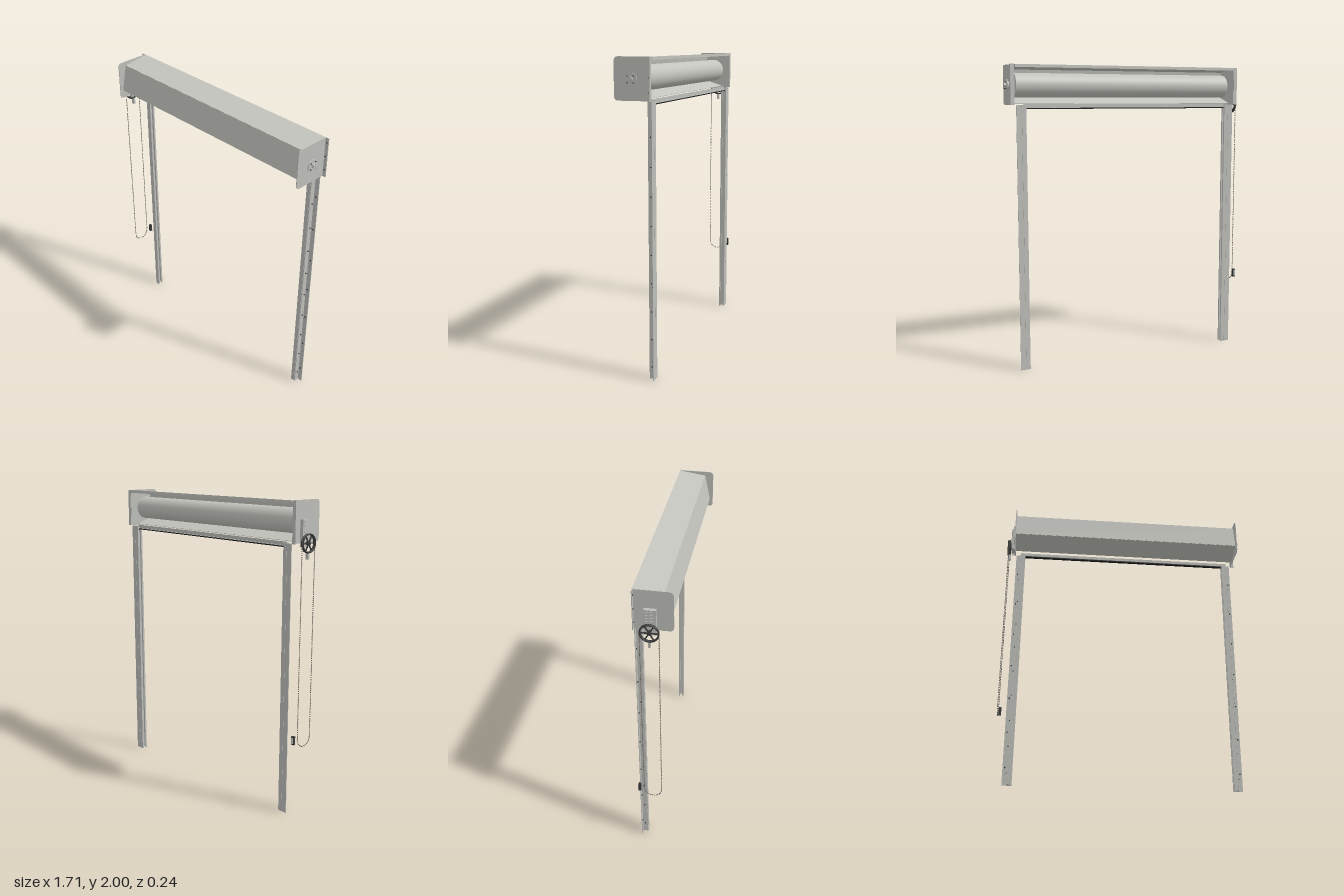
import * as THREE from 'three';
import { mergeGeometries } from 'three/addons/utils/BufferGeometryUtils.js';

const mat = (name, color) => {
  const m = new THREE.MeshStandardMaterial({ color });
  m.name = name;
  return m;
};

export function createModel() {
  const root = new THREE.Group();
  root.name = 'rollerShutter';
  const steel = mat('galvanised steel', 0xbebeba);
  const sheet = mat('hood sheet', 0xc4c4be);
  const rubber = mat('black rubber', 0x1c1c1c);
  const iron = mat('dark iron', 0x3a3a3a);
  const chainGrey = mat('chain grey', 0x77736c);

  const add = (parent, name, geo, material, x = 0, y = 0, z = 0) => {
    const m = new THREE.Mesh(geo, material);
    m.name = name;
    m.position.set(x, y, z);
    parent.add(m);
    return m;
  };
  // box given by its limits
  const box = (parent, name, material, x0, x1, y0, y1, z0, z1) =>
    add(parent, name, new THREE.BoxGeometry(x1 - x0, y1 - y0, z1 - z0), material,
      (x0 + x1) / 2, (y0 + y1) / 2, (z0 + z1) / 2);
  // cylinder lying along x
  const rod = (parent, name, material, x0, x1, y, z, r, n = 24) =>
    add(parent, name, new THREE.CylinderGeometry(r, r, x1 - x0, n).rotateZ(Math.PI / 2),
      material, (x0 + x1) / 2, y, z);

  // Hood: folded sheet, open at the back, listed as (z, y) folds
  const hood = new THREE.Group();
  hood.name = 'hood';
  root.add(hood);
  const folds = [[-0.118, 1.998], [0.06, 1.972], [0.096, 1.8], [-0.06, 1.75]];
  for (let i = 0; i < folds.length - 1; i++) {
    const [z0, y0] = folds[i], [z1, y1] = folds[i + 1];
    const panel = add(hood, 'hoodPanel' + (i + 1),
      new THREE.BoxGeometry(1.615, 0.003, Math.hypot(z1 - z0, y1 - y0)), sheet,
      0.005, (y0 + y1) / 2, (z0 + z1) / 2);
    panel.rotation.x = -Math.atan2(y1 - y0, z1 - z0);
  }
  box(hood, 'hoodBackLip', sheet, -0.8, 0.81, 1.98, 1.998, -0.119, -0.116);

  // Shutter roll and its shaft
  rod(root, 'shutterRoll', sheet, -0.78, 0.79, 1.87, 0.003, 0.078, 48);
  rod(root, 'rollShaft', steel, -0.81, 0.85, 1.87, 0.003, 0.014);

  // End plates with rounded front corners and an outward back flange
  const plate = new THREE.Shape();
  plate.moveTo(-0.115, 1.742);
  plate.lineTo(0.09, 1.742);
  plate.quadraticCurveTo(0.118, 1.742, 0.118, 1.77);
  plate.lineTo(0.118, 1.97);
  plate.quadraticCurveTo(0.118, 2, 0.09, 2);
  plate.lineTo(-0.115, 2);
  const plateGeo = new THREE.ExtrudeGeometry(plate, { depth: 0.005, bevelEnabled: false })
    .rotateY(-Math.PI / 2);
  for (const s of [-1, 1]) {
    const g = new THREE.Group();
    g.name = s > 0 ? 'leftEndPlate' : 'rightEndPlate';
    root.add(g);
    const x = 0.005 + s * 0.812;
    add(g, 'plate', plateGeo, steel, x + 0.0025);
    box(g, 'flange', steel, Math.min(x, x + s * 0.025), Math.max(x, x + s * 0.025),
      1.742, 2, -0.118, -0.113);
    for (const y of [1.79, 1.88, 1.97])
      add(g, 'flangeBolt', new THREE.CylinderGeometry(0.004, 0.004, 0.008, 6)
        .rotateX(Math.PI / 2), iron, x + s * 0.014, y, -0.112);
  }

  // Guide posts: an inward channel riveted to a mounting angle
  for (const s of [-1, 1]) {
    const post = new THREE.Group();
    post.name = s > 0 ? 'leftPost' : 'rightPost';
    post.position.x = 0.003;
    root.add(post);
    const bar = (name, x0, x1, z0, z1) =>
      box(post, name, steel, Math.min(s * x0, s * x1), Math.max(s * x0, s * x1), 0, 1.742, z0, z1);
    bar('channelWeb', 0.762, 0.765, -0.115, -0.076);
    bar('channelFront', 0.736, 0.762, -0.079, -0.076);
    bar('channelBack', 0.736, 0.762, -0.115, -0.112);
    bar('channelFrontLip', 0.736, 0.739, -0.088, -0.079);
    bar('channelBackLip', 0.736, 0.739, -0.112, -0.103);
    bar('angleWeb', 0.766, 0.77, -0.115, -0.077);
    bar('angleFlange', 0.77, 0.802, -0.115, -0.111);
    for (let i = 0; i < 9; i++)
      rod(post, 'rivet', iron, s * 0.773 - 0.004, s * 0.773 + 0.004,
        0.08 + i * 0.181, -0.095, 0.004, 8);
    for (let i = 0; i < 7; i++)
      add(post, 'wallBolt', new THREE.CylinderGeometry(0.005, 0.005, 0.007, 6)
        .rotateX(Math.PI / 2), iron, s * 0.787, 0.12 + i * 0.243, -0.109);
  }

  // Bottom bar of the raised curtain with its rubber seal
  box(root, 'bottomBar', steel, -0.745, 0.75, 1.727, 1.75, -0.1, -0.09);
  box(root, 'bottomBarFoot', steel, -0.735, 0.74, 1.724, 1.728, -0.108, -0.082);
  box(root, 'bottomSeal', rubber, -0.735, 0.74, 1.717, 1.724, -0.105, -0.085);

  // Bearing on the left end
  const bearing = new THREE.Group();
  bearing.name = 'bearing';
  root.add(bearing);
  rod(bearing, 'bearingBoss', steel, 0.818, 0.83, 1.87, 0.003, 0.025);
  rod(bearing, 'bearingDisc', steel, 0.83, 0.836, 1.868, 0.005, 0.04, 32);
  for (let i = 0; i < 4; i++) {
    const a = Math.PI / 4 + i * Math.PI / 2;
    rod(bearing, 'bearingBolt', iron, 0.836, 0.841,
      1.868 + 0.028 * Math.sin(a), 0.005 + 0.028 * Math.cos(a), 0.004, 6);
  }

  // Gearbox and chain wheel on the right end
  const cy = 1.743, cz = -0.018, cx = -0.849, wheelR = 0.055;
  const drive = new THREE.Group();
  drive.name = 'chainDrive';
  root.add(drive);
  box(drive, 'gearbox', steel, -0.833, -0.809, 1.72, 1.885, -0.052, 0.02);
  for (let i = 0; i < 4; i++)
    box(drive, 'gearboxRib', steel, -0.836, -0.833, 1.805 + i * 0.02, 1.813 + i * 0.02, -0.042, 0.01);
  rod(drive, 'wheelHub', iron, -0.858, -0.825, cy, cz, 0.011, 16);
  for (const dx of [-0.005, 0.005])
    add(drive, 'wheelRim', new THREE.TorusGeometry(wheelR, 0.005, 8, 40).rotateY(Math.PI / 2),
      iron, cx + dx, cy, cz);
  for (let i = 0; i < 6; i++) {
    const a = i * Math.PI / 3 + Math.PI / 6;
    const spoke = add(drive, 'wheelSpoke', new THREE.BoxGeometry(0.007, wheelR, 0.007), iron,
      cx, cy + Math.cos(a) * wheelR / 2, cz + Math.sin(a) * wheelR / 2);
    spoke.rotation.x = a;
  }
  box(drive, 'chainGuide', steel, cx - 0.004, cx + 0.016, 1.645, 1.685, cz - 0.007, cz + 0.007);

  // Hanging chain loop: straight falls joined by two half circles
  const chainR = 0.057, low = 0.507;
  const pts = [];
  for (let i = 0; i <= 12; i++) {
    const a = i / 12 * Math.PI;
    pts.push([cz + chainR * Math.cos(a), cy + chainR * Math.sin(a)]);
  }
  for (let i = 0; i <= 12; i++) {
    const a = Math.PI + i / 12 * Math.PI;
    pts.push([cz + chainR * Math.cos(a), low + chainR * Math.sin(a)]);
  }
  pts.push(pts[0]);
  const path = new THREE.CurvePath();
  for (let i = 0; i < pts.length - 1; i++)
    path.add(new THREE.LineCurve3(new THREE.Vector3(cx, pts[i][1], pts[i][0]),
      new THREE.Vector3(cx, pts[i + 1][1], pts[i + 1][0])));
  const beads = [], count = 230;
  for (let i = 0; i < count; i++) {
    const p = path.getPointAt(i / count);
    beads.push(new THREE.SphereGeometry(0.0036, 8, 6).translate(p.x, p.y, p.z));
  }
  add(drive, 'chainBeads', mergeGeometries(beads), chainGrey);
  add(drive, 'chainCord', new THREE.TubeGeometry(path, 400, 0.001, 5, false), chainGrey);

  // Wall cleat for the chain
  box(root, 'chainCleat', iron, -0.852, -0.832, 0.48, 0.535, -0.114, -0.098);
  box(root, 'chainCleatBase', steel, -0.848, -0.836, 0.488, 0.527, -0.118, -0.114);

  return root;
}
